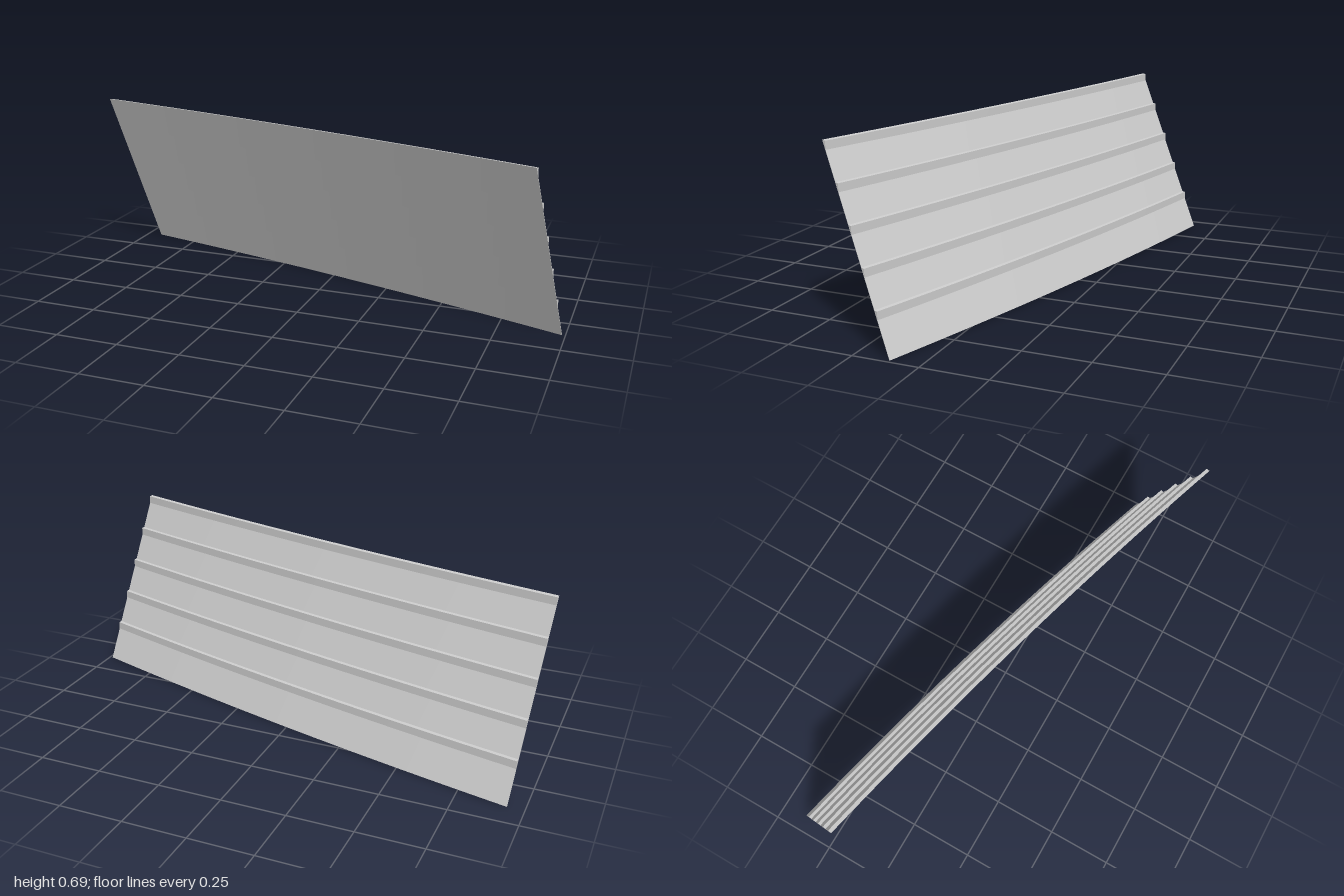
import * as THREE from 'three';
import { toCreasedNormals } from 'three/addons/utils/BufferGeometryUtils.js';

const HEIGHT = 0.695, PITCH = 0.1342, BOARDS = 5;
const SLOPE = 0.29 / HEIGHT;      // backward lean per unit of drop
const ARC = 0.1, RADIUS = 19.64;  // gentle curve of the wall
const SKIN = 0.002, LIP = 0.0145, LIP_DROP = 0.032;

// Bend (depth, height, 0..1 along) onto the turned, curved wall line
const back = new THREE.Vector3(0.259, 0, -0.966);
const along = new THREE.Vector3(0.966, 0, 0.259);
const centre = new THREE.Vector3(-0.05, 0, 0.1375).addScaledVector(back, -RADIUS * Math.cos(ARC / 2));

function bend(geometry) {
  const pos = geometry.attributes.position;
  const p = new THREE.Vector3();
  for (let i = 0; i < pos.count; i++) {
    const r = RADIUS + pos.getX(i), a = (pos.getZ(i) - 0.5) * ARC, y = pos.getY(i);
    p.copy(centre).addScaledVector(back, r * Math.cos(a)).addScaledVector(along, r * Math.sin(a));
    pos.setXYZ(i, p.x, y, p.z);
  }
  return toCreasedNormals(geometry, 0.35);
}

// Leaning board with a wedge-shaped lip along its top back edge
function boardGeometry(top, bottom) {
  const front = (y) => (HEIGHT - y) * SLOPE;
  const shape = new THREE.Shape([
    [front(top), top],
    [front(bottom), bottom],
    [front(bottom) + SKIN, bottom],
    [front(top - LIP_DROP) + SKIN, top - LIP_DROP],
    [front(top) + LIP, top - 0.002],
  ].map(([x, y]) => new THREE.Vector2(x, y)));
  return bend(new THREE.ExtrudeGeometry(shape, { depth: 1, steps: 24, bevelEnabled: false }));
}

export function createModel() {
  const model = new THREE.Group();
  model.name = 'sidingPanel';
  const material = new THREE.MeshStandardMaterial({ color: 0xcccccc, side: THREE.DoubleSide });
  for (let i = 0; i < BOARDS; i++) {
    const top = HEIGHT - i * PITCH;
    const bottom = i === BOARDS - 1 ? 0 : top - PITCH;
    const board = new THREE.Mesh(boardGeometry(top, bottom), material);
    board.name = `sidingBoard${i + 1}`;
    model.add(board);
  }
  return model;
}
